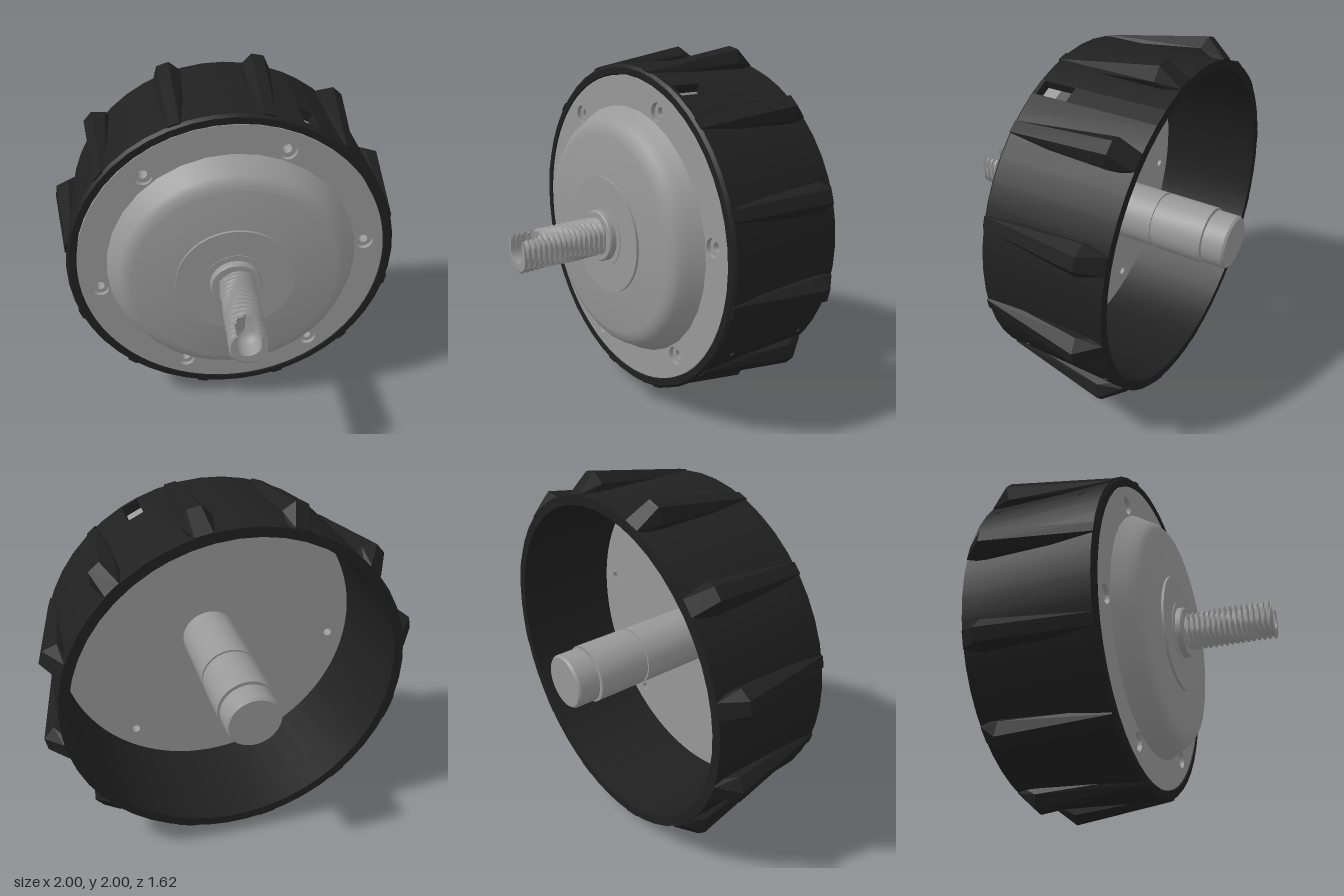
import * as THREE from 'three';
import { toCreasedNormals } from 'three/addons/utils/BufferGeometryUtils.js';
import { ConvexGeometry } from 'three/addons/geometries/ConvexGeometry.js';

const DEG = Math.PI / 180;
const black = new THREE.MeshStandardMaterial({ color: 0x202020 });
black.name = 'black plastic';
const grey = new THREE.MeshStandardMaterial({ color: 0x989898 });
grey.name = 'grey metal';

// Turned part around the z axis; profile is [radius, z], angles run from +x towards +y
function turned(profile, segments, from = 0, sweep = 360) {
  const pts = profile.map(([r, z]) => new THREE.Vector2(r, z));
  const g = new THREE.LatheGeometry(pts, segments, (from + 90) * DEG, sweep * DEG);
  g.rotateX(Math.PI / 2);
  return toCreasedNormals(g, 0.45);
}

// Disc with six round holes for the screws
function drilledDisc(radius, holeRadius, z0, z1) {
  const shape = new THREE.Shape().absarc(0, 0, radius, 0, Math.PI * 2);
  for (let i = 0; i < 6; i++) {
    const a = (7.8 + 60 * i) * DEG;
    shape.holes.push(new THREE.Path().absarc(0.755 * Math.cos(a), 0.755 * Math.sin(a), holeRadius, 0, Math.PI * 2, true));
  }
  const g = new THREE.ExtrudeGeometry(shape, { depth: z1 - z0, bevelEnabled: false, curveSegments: 40 });
  g.translate(0, 0, z0);
  return toCreasedNormals(g, 0.45);
}

// Cross-section of the threaded axle: two side flats and a cable channel that opens near the tip
function axleSection(z) {
  const pts = [];
  const t = (0.745 - z) / 0.065;
  const w = t >= 1 ? 0 : t > 0 ? 0.065 * Math.sqrt(1 - t * t) : 0.065;
  const gap = Math.asin(w / 0.108);
  for (let i = 0; i <= 56; i++) {
    const a = Math.PI / 2 + gap + (2 * Math.PI - 2 * gap) * i / 56;
    const turn = z / 0.03 - a / (2 * Math.PI) + 10;
    const r = 0.086 + 0.024 * Math.abs(2 * (turn - Math.floor(turn)) - 1);
    pts.push(new THREE.Vector2(THREE.MathUtils.clamp(r * Math.cos(a), -0.095, 0.095), r * Math.sin(a)));
  }
  for (let i = 0; i <= 10; i++) {
    const a = -Math.PI * i / 10;
    pts.push(new THREE.Vector2(w * Math.cos(a), 0.01 + w * Math.sin(a)));
  }
  return pts;
}

function threadedAxle(z0, z1) {
  const rows = 64, pos = [], index = [];
  let n = 0;
  for (let i = 0; i <= rows; i++) {
    const z = z0 + (z1 - z0) * i / rows;
    const section = axleSection(z);
    n = section.length;
    for (const p of section) pos.push(p.x, p.y, z);
  }
  for (let i = 0; i < rows; i++) {
    for (let j = 0; j < n; j++) {
      const a = i * n + j, b = i * n + (j + 1) % n;
      index.push(a, b, b + n, a, b + n, a + n);
    }
  }
  const g = new THREE.BufferGeometry();
  g.setAttribute('position', new THREE.Float32BufferAttribute(pos, 3));
  g.setIndex(index);
  return toCreasedNormals(g, 0.45);
}

export function createModel() {
  const model = new THREE.Group();
  model.name = 'hubMotorWheel';
  const add = (name, geometry, material, parent = model) => {
    const mesh = new THREE.Mesh(geometry, material);
    mesh.name = name;
    parent.add(mesh);
    return mesh;
  };

  // Outer rim with one rectangular window through it
  const rim = new THREE.Group();
  rim.name = 'rim';
  model.add(rim);
  const Ri = 0.866, Ro = 0.917, zb = -0.56, zf = 0.135;
  const back = [[Ri, zb], [Ro, zb]];
  const front = [[Ro, zf - 0.015], [Ro - 0.015, zf], [Ri, zf]];
  const w0 = 60.7, w1 = 66.4, wBack = -0.075, wFront = 0.1;
  add('rimMain', turned([...back, ...front, [Ri, zb]], 48, w1, 360 - (w1 - w0)), black, rim);
  add('rimBehindWindow', turned([...back, [Ro, wBack], [Ri, wBack], [Ri, zb]], 1, w0, w1 - w0), black, rim);
  add('rimBeforeWindow', turned([[Ri, wFront], [Ro, wFront], ...front, [Ri, wFront]], 1, w0, w1 - w0), black, rim);
  for (const a of [w0 - 0.1, w1 + 0.1]) {
    const wall = add('windowWall', new THREE.BoxGeometry(Ro - Ri - 0.004, 0.004, wFront - wBack + 0.01), black, rim);
    const r = (Ri + Ro) / 2;
    wall.position.set(r * Math.cos(a * DEG), r * Math.sin(a * DEG), (wBack + wFront) / 2);
    wall.rotation.z = a * DEG;
  }

  // Tread lugs: highest near the back, tapering to the front; rows are [half width, radius, z]
  const lugRows = [
    [0.05, 0.88, -0.56], [0.045, 0.92, -0.56],
    [0.06, 0.88, -0.45], [0.08, 0.95, -0.44], [0.035, 1.013, -0.45],
    [0.045, 0.89, 0.12], [0.03, 0.922, 0.125],
  ];
  const lugPoints = lugRows.flatMap(([w, r, z]) => [new THREE.Vector3(w, r, z), new THREE.Vector3(-w, r, z)]);
  const lugGeometry = new ConvexGeometry(lugPoints);
  for (let i = 0; i < 12; i++) {
    add('treadLug', lugGeometry, black).rotation.z = (18.4 + 30 * i - 90) * DEG;
  }

  // Small radial screw heads on two opposite sides of the rim
  const plug = new THREE.CylinderGeometry(0.02, 0.02, Ro - Ri + 0.006, 16);
  for (const a of [-33.5, 146.5]) {
    for (const z of [-0.5, -0.01]) {
      const m = add('rimScrew', plug, black);
      const r = (Ri + Ro) / 2;
      m.position.set(r * Math.cos(a * DEG), r * Math.sin(a * DEG), z);
      m.rotation.z = (a - 90) * DEG;
    }
  }

  // Cover plate with stepped screw holes, and the dome on it
  add('coverBack', drilledDisc(0.86, 0.025, 0.03, 0.105), grey);
  add('coverFront', drilledDisc(0.86, 0.05, 0.105, 0.13), grey);
  add('coverDome', turned([
    [0.70, 0.128], [0.66, 0.19], [0.635, 0.235], [0.605, 0.26], [0.56, 0.272], [0, 0.272],
  ], 32), grey);
  add('hubDisc', turned([[0.327, 0.27], [0.327, 0.286], [0.175, 0.286], [0.175, 0.29], [0, 0.29]], 40), grey);
  add('hubCollar', turned([[0.142, 0.285], [0.142, 0.32], [0.135, 0.328], [0, 0.328]], 32), grey);

  // Threaded front axle with its end face
  const tip = 0.812;
  add('frontAxle', threadedAxle(0.32, tip), grey);
  const end = new THREE.ShapeGeometry(new THREE.Shape(axleSection(tip)));
  end.translate(0, 0, tip);
  add('frontAxleEnd', end, grey);

  // Smooth grooved rear axle
  add('rearAxle', turned([
    [0, -0.812], [0.135, -0.812], [0.145, -0.80], [0.145, -0.69], [0.13, -0.69], [0.13, -0.68],
    [0.155, -0.68], [0.155, -0.40], [0.145, -0.40], [0.145, -0.385], [0.155, -0.385], [0.155, 0.035],
  ], 40), grey);

  model.children.forEach((part) => { part.position.y += 1; });
  return model;
}
